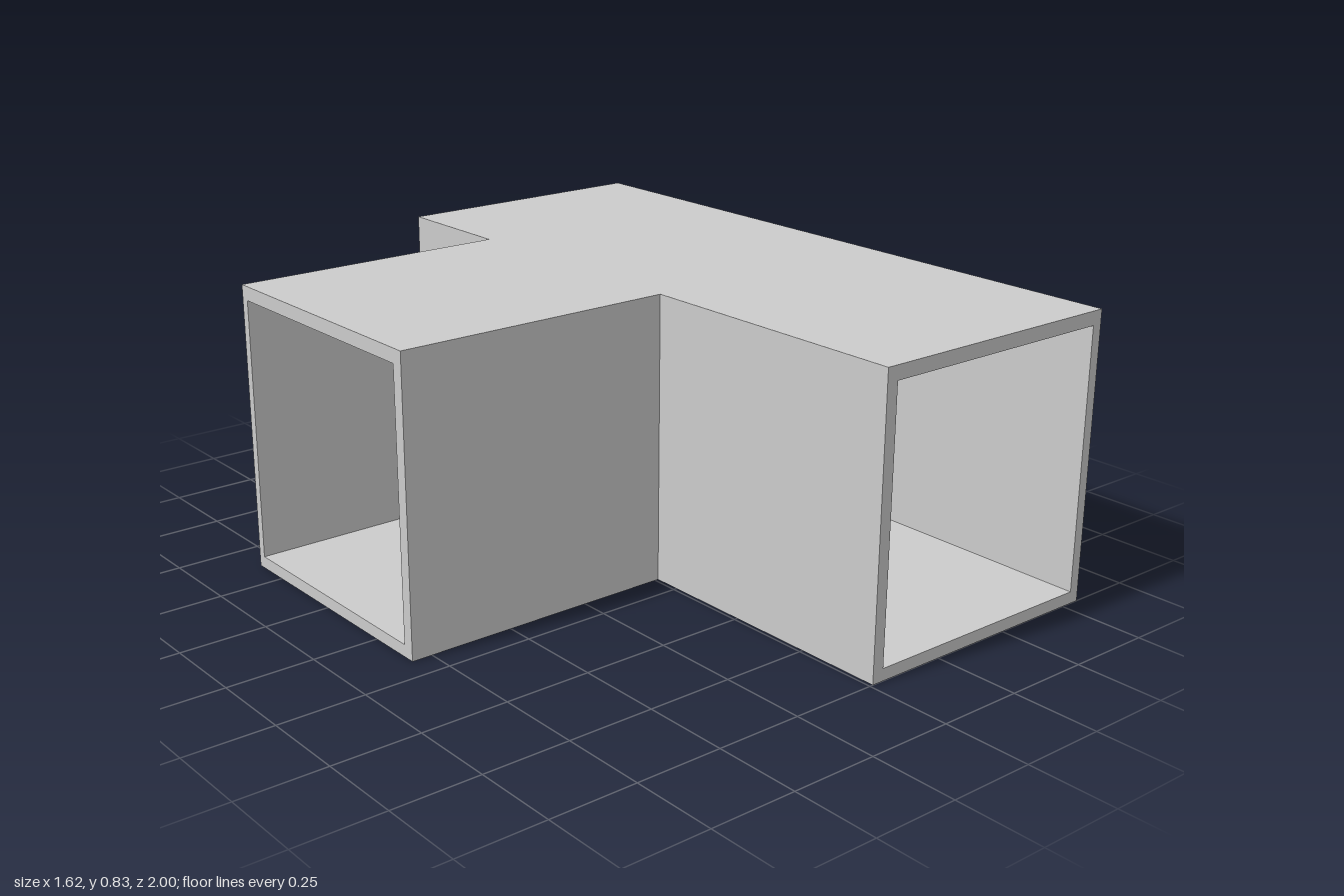
import * as THREE from 'three';

const HEIGHT = 0.83, FLOOR = 0.035, CEILING = 0.79;
// Plan limits of the main duct and side branch, outer and inner
const OUT = { left: 0.81, right: 0.01, end: -0.81, back: -0.62, front: 0.17 };
const INN = { left: 0.78, right: 0.045, back: -0.595, front: 0.135 };

const material = new THREE.MeshStandardMaterial({ color: 0xcccccc });

// Extrudes a plan outline of [x, z] points from y0 up to y1
function slab(name, plan, y0, y1) {
  const shape = new THREE.Shape(plan.map(([x, z]) => new THREE.Vector2(x, -z)));
  const geometry = new THREE.ExtrudeGeometry(shape, { depth: y1 - y0, bevelEnabled: false });
  geometry.rotateX(-Math.PI / 2).translate(0, y0, 0);
  const mesh = new THREE.Mesh(geometry, material);
  mesh.name = name;
  return mesh;
}

// L-shaped wall turning from one end of the duct into the branch
function cornerWall(name, zEnd, zOut, zIn) {
  return slab(name, [
    [OUT.right, zEnd], [INN.right, zEnd], [INN.right, zIn],
    [OUT.end, zIn], [OUT.end, zOut], [OUT.right, zOut],
  ], FLOOR, CEILING);
}

export function createModel() {
  const group = new THREE.Group();
  group.name = 'teeDuct';

  // T-shaped floor and ceiling plates
  const tee = [
    [OUT.left, 1], [OUT.left, -1], [OUT.right, -1], [OUT.right, OUT.back],
    [OUT.end, OUT.back], [OUT.end, OUT.front], [OUT.right, OUT.front], [OUT.right, 1],
  ];
  group.add(slab('floorPlate', tee, 0, FLOOR));
  group.add(slab('ceilingPlate', tee, CEILING, HEIGHT));

  // Long straight wall opposite the branch
  group.add(slab('straightWall',
    [[INN.left, 1], [OUT.left, 1], [OUT.left, -1], [INN.left, -1]], FLOOR, CEILING));

  // Corner walls, leaving all three ends open
  group.add(cornerWall('frontCornerWall', 1, OUT.front, INN.front));
  group.add(cornerWall('backCornerWall', -1, OUT.back, INN.back));
  return group;
}
